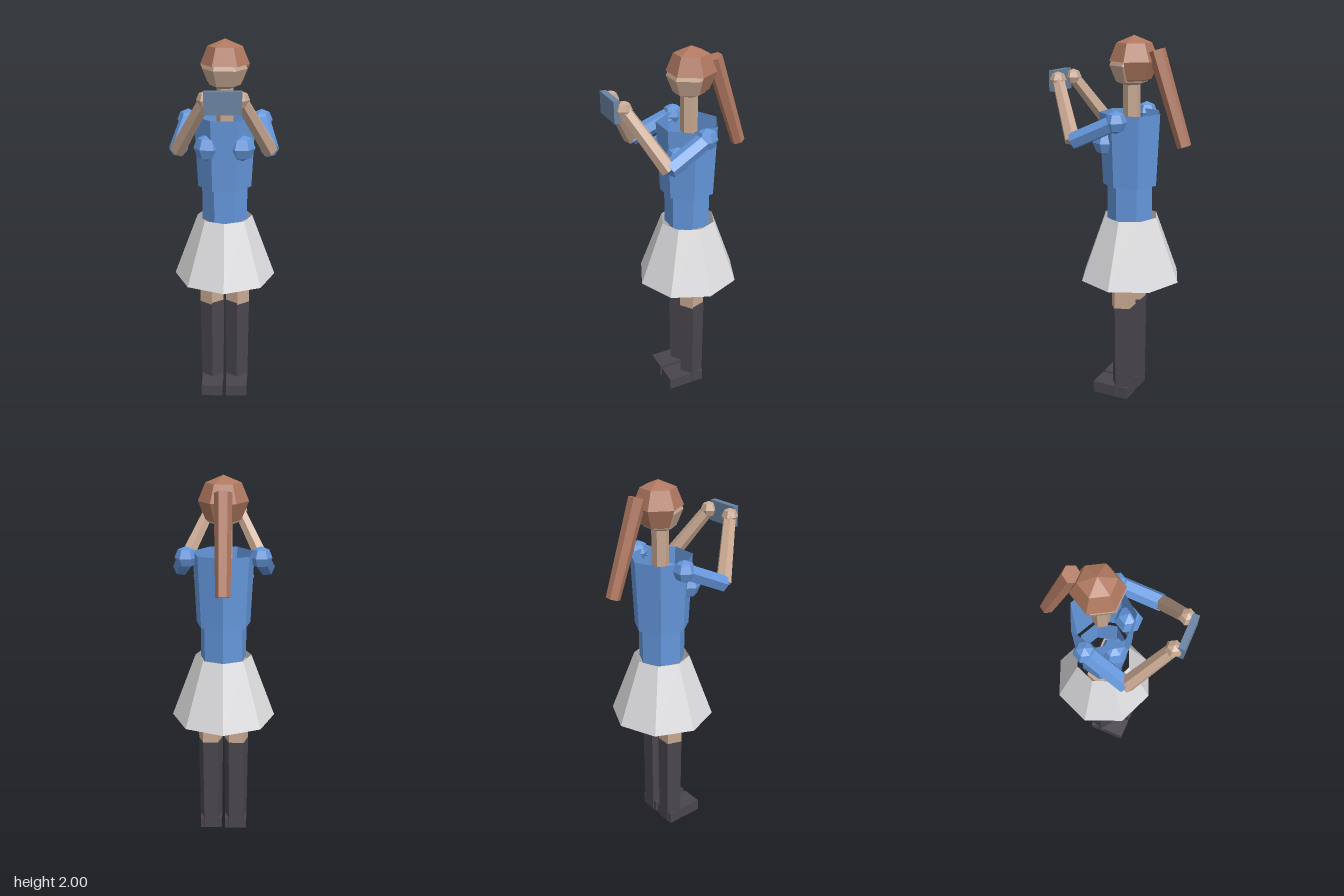
import * as THREE from 'three';

const flat = (name, color) => {
  const m = new THREE.MeshStandardMaterial({ color });
  m.name = name;
  m.flatShading = true;
  m.side = THREE.DoubleSide;
  return m;
};

export function createModel() {
  const hair = flat('hair brown', 0xb07860);
  const skin = flat('skin', 0xc8a892);
  const blue = flat('shirt blue', 0x6496da);
  const white = flat('skirt white', 0xdedee0);
  const dark = flat('sock charcoal', 0x49464d);
  const slate = flat('device slate', 0x6a84a2);

  const model = new THREE.Group();
  model.name = 'figure';

  const add = (name, geometry, material, x = 0, y = 0, z = 0) => {
    const mesh = new THREE.Mesh(geometry, material);
    mesh.name = name;
    mesh.position.set(x, y, z);
    model.add(mesh);
    return mesh;
  };
  // Faceted ball with six sides
  const ball = (name, r, material, x, y, z) =>
    add(name, new THREE.SphereGeometry(r, 6, 4), material, x, y, z);
  // Upright prism between two heights
  const prism = (name, rTop, rBottom, y0, y1, sides, turn, material, x, z, open = false) => {
    const g = new THREE.CylinderGeometry(rTop, rBottom, y1 - y0, sides, 1, open);
    g.rotateY(turn);
    return add(name, g, material, x, (y0 + y1) / 2, z);
  };
  // Six-sided limb running from point a to point b
  const limb = (name, a, b, rA, rB, material) => {
    const p = new THREE.Vector3(...a), q = new THREE.Vector3(...b);
    const d = q.clone().sub(p);
    const g = new THREE.CylinderGeometry(rA, rB, d.length(), 6);
    g.rotateY(Math.PI / 6);
    const c = p.add(q).multiplyScalar(0.5);
    const mesh = add(name, g, material, c.x, c.y, c.z);
    mesh.quaternion.setFromUnitVectors(new THREE.Vector3(0, 1, 0), d.negate().normalize());
    return mesh;
  };

  // Head, hair and neck
  ball('head', 0.116, skin, 0, 1.85, -0.055);
  add('hairCap', new THREE.SphereGeometry(0.128, 6, 2, 0, Math.PI * 2, 0, Math.PI / 2),
    hair, 0, 1.872, -0.067);
  add('hairBack', new THREE.SphereGeometry(0.128, 3, 2, Math.PI, Math.PI, Math.PI / 2, Math.PI / 2),
    hair, 0, 1.872, -0.067);
  limb('ponytail', [0, 1.928, -0.19], [0, 1.452, -0.35], 0.045, 0.037, hair);
  prism('neck', 0.045, 0.045, 1.56, 1.78, 6, Math.PI / 6, skin, 0, -0.055);

  // Seven-sided open torso and waist, eight-sided open skirt
  prism('torso', 0.165, 0.147, 1.23, 1.61, 7, Math.PI, blue, 0, -0.05, true);
  prism('waist', 0.125, 0.125, 1.04, 1.24, 7, Math.PI, blue, 0, -0.05, true);
  prism('skirt', 0.15, 0.28, 0.705, 1.055, 8, 0, white, 0, -0.05, true);

  for (const [side, s] of [['left', 1], ['right', -1]]) {
    // Arms raised to hold the device
    const shoulder = [s * 0.193, 1.585, -0.055];
    const elbow = [s * 0.232, 1.48, 0.17];
    const hand = [s * 0.083, 1.765, 0.333];
    ball(side + 'Shoulder', 0.058, blue, ...shoulder);
    limb(side + 'UpperArm', shoulder, elbow, 0.045, 0.046, blue);
    limb(side + 'Forearm', elbow, hand, 0.042, 0.034, skin);
    ball(side + 'Hand', 0.044, skin, ...hand);
    ball(side + 'Chest', 0.072, blue, s * 0.09, 1.46, 0.05);

    // Five-sided legs with tall socks and block shoes
    prism(side + 'Thigh', 0.07, 0.069, 0.54, 1.02, 5, 0, skin, s * 0.072, -0.04);
    prism(side + 'Sock', 0.071, 0.066, 0.005, 0.55, 5, 0, dark, s * 0.071, -0.042);
    add(side + 'Shoe', new THREE.BoxGeometry(0.12, 0.066, 0.21), dark, s * 0.07, 0.033, 0.015);
  }

  // Held device
  add('device', new THREE.BoxGeometry(0.18, 0.11, 0.033), slate, 0, 1.757, 0.368);
  return model;
}
